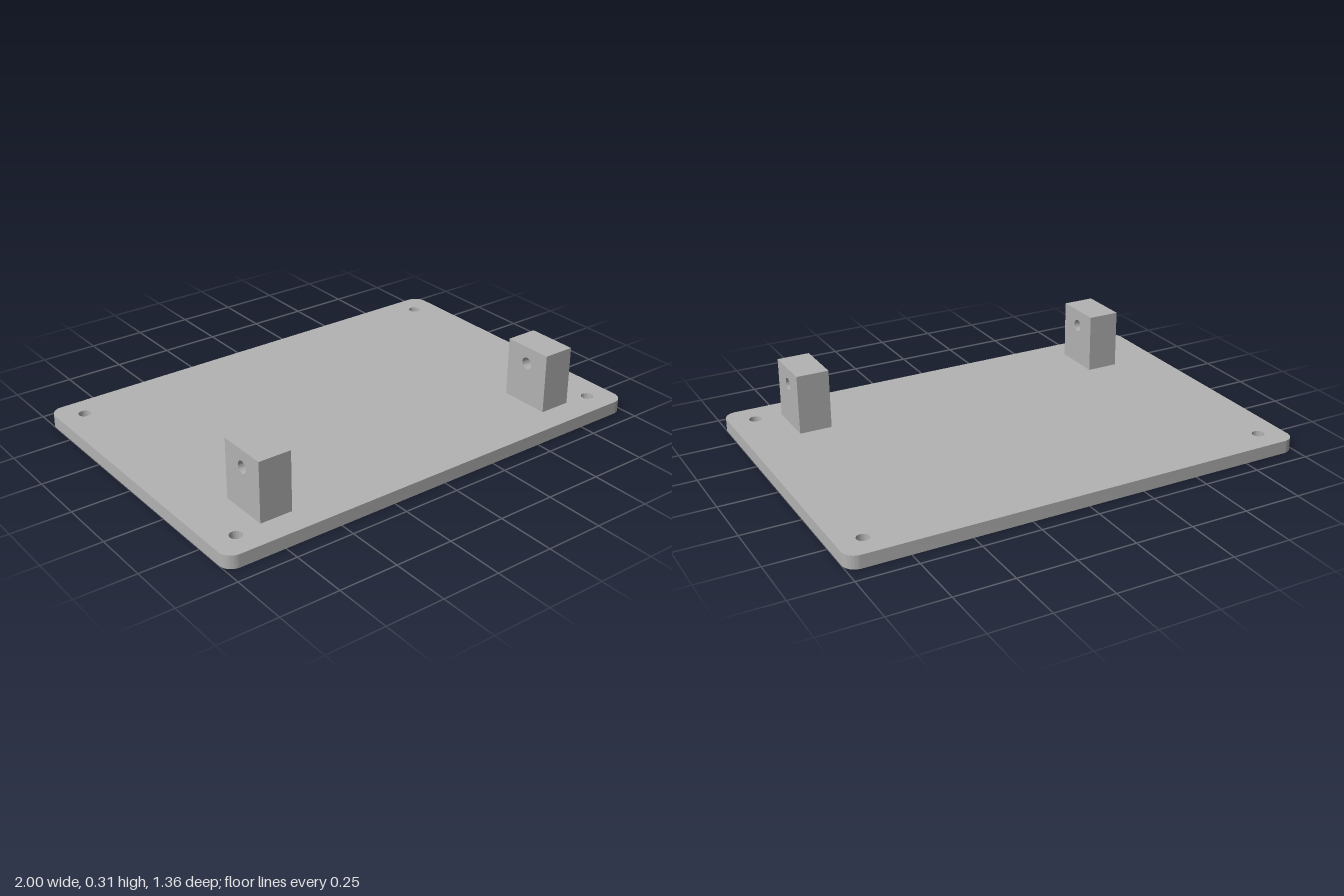
import * as THREE from 'three';
import { toCreasedNormals } from 'three/addons/utils/BufferGeometryUtils.js';

const PLATE = { w: 2, d: 1.364, t: 0.056, r: 0.056 };
const BLOCK = { w: 0.14, d: 0.22, h: 0.256 };
const HOLE = 0.026;

function addHole(shape, x, y) {
  const hole = new THREE.Path();
  hole.absarc(x, y, HOLE, 0, Math.PI * 2, true);
  shape.holes.push(hole);
}

function extrude(shape, depth) {
  const geometry = new THREE.ExtrudeGeometry(shape, { depth, bevelEnabled: false, curveSegments: 16 });
  return toCreasedNormals(geometry, 0.6);
}

// Rounded rectangle with a screw hole near each corner
function plateGeometry() {
  const { w, d, t, r } = PLATE;
  const x = w / 2 - r, y = d / 2 - r;
  const shape = new THREE.Shape();
  shape.absarc(x, y, r, 0, Math.PI / 2);
  shape.absarc(-x, y, r, Math.PI / 2, Math.PI);
  shape.absarc(-x, -y, r, Math.PI, Math.PI * 1.5);
  shape.absarc(x, -y, r, Math.PI * 1.5, Math.PI * 2);
  shape.closePath();
  for (const sx of [-1, 1]) for (const sy of [-1, 1]) addHole(shape, sx * 0.891, sy * 0.573);
  return extrude(shape, t).rotateX(-Math.PI / 2);
}

// Upright block with a sideways pin hole
function blockGeometry() {
  const { w, d, h } = BLOCK;
  const shape = new THREE.Shape();
  shape.moveTo(-d / 2, 0);
  shape.lineTo(d / 2, 0);
  shape.lineTo(d / 2, h);
  shape.lineTo(-d / 2, h);
  shape.closePath();
  addHole(shape, 0, 0.183);
  return extrude(shape, w).translate(0, 0, -w / 2).rotateY(-Math.PI / 2);
}

export function createModel() {
  const grey = new THREE.MeshStandardMaterial({ color: 0xb3b3b3 });
  grey.name = 'grey';
  const model = new THREE.Group();
  model.name = 'mountingPlate';

  const plate = new THREE.Mesh(plateGeometry(), grey);
  plate.name = 'basePlate';
  model.add(plate);

  const geometry = blockGeometry();
  for (const [name, x] of [['rightBlock', -0.71], ['leftBlock', 0.706]]) {
    const block = new THREE.Mesh(geometry, grey);
    block.name = name;
    block.position.set(x, PLATE.t, 0.454);
    model.add(block);
  }
  return model;
}
